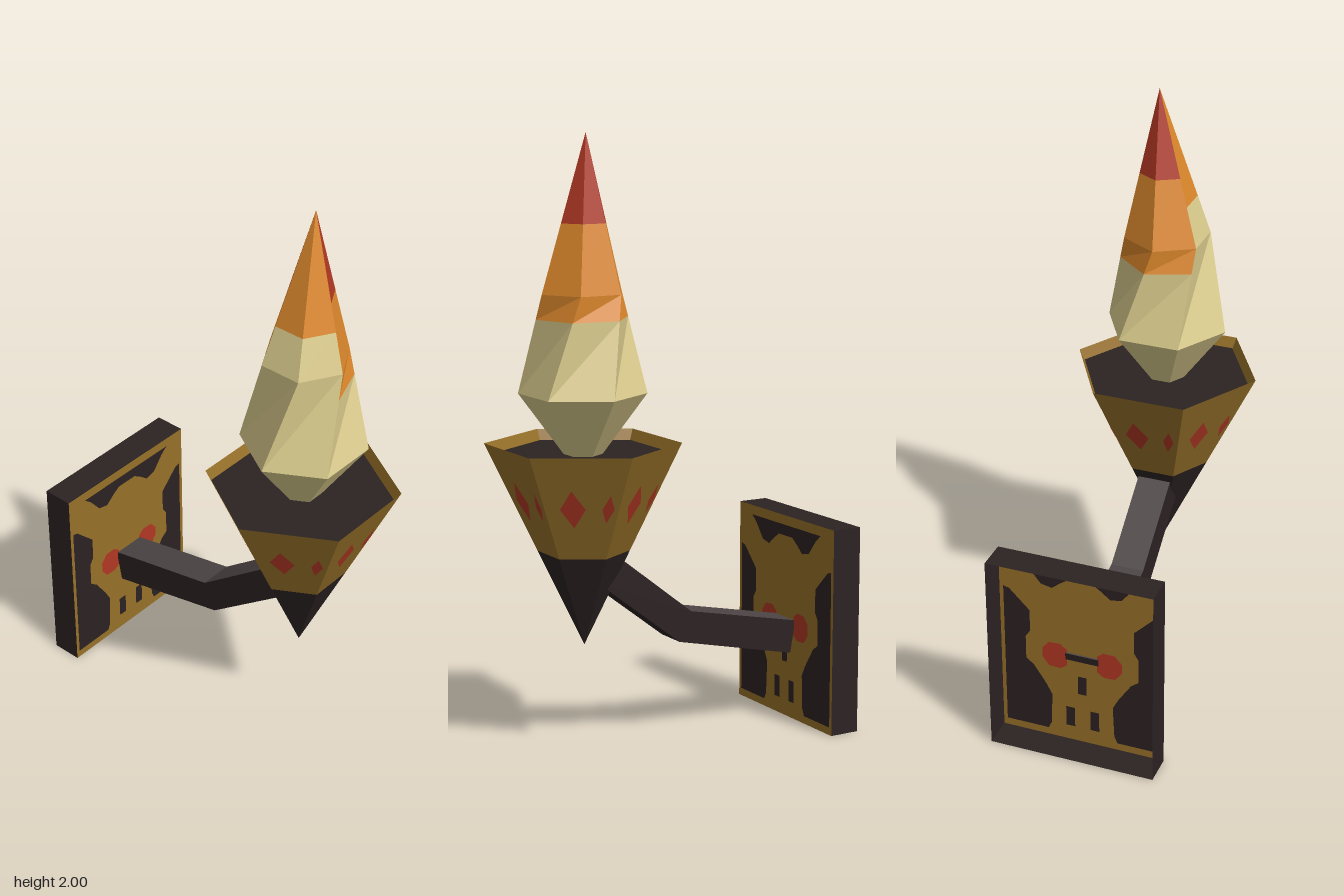
import * as THREE from 'three';

const mat = (name, color) => {
  const m = new THREE.MeshStandardMaterial({ color, side: THREE.DoubleSide });
  m.name = name;
  return m;
};

// Mesh made of flat four-cornered faces, corners counter-clockwise from outside
function quadMesh(name, quads, material) {
  const pos = [];
  for (const [a, b, c, d] of quads) for (const p of [a, b, c, a, c, d]) pos.push(...p);
  const g = new THREE.BufferGeometry();
  g.setAttribute('position', new THREE.Float32BufferAttribute(pos, 3));
  g.computeVertexNormals();
  const mesh = new THREE.Mesh(g, material);
  mesh.name = name;
  return mesh;
}

const CZ = 0.305; // torch axis
const corner = (deg, r, y) => {
  const a = THREE.MathUtils.degToRad(deg);
  return [Math.cos(a) * r, y, CZ + Math.sin(a) * r];
};
const mix = (a, b, t) => a.map((v, i) => v + (b[i] - v) * t);

// Six-sided band between two rings
function hexBand(name, r0, y0, r1, y1, material) {
  const quads = [];
  for (let d = 0; d < 360; d += 60) {
    quads.push([corner(d + 60, r0, y0), corner(d, r0, y0), corner(d, r1, y1), corner(d + 60, r1, y1)]);
  }
  return quadMesh(name, quads, material);
}

export function createModel() {
  const cream = mat('flameCream', 0xdccd8e);
  const orange = mat('flameOrange', 0xdd882c);
  const red = mat('red', 0xb23824);
  const gold = mat('gold', 0x967028);
  const dark = mat('darkIron', 0x2c2222);
  const grey = mat('armGrey', 0x4d4545);
  const model = new THREE.Group();
  model.name = 'wallTorch';

  // Wall plate: open-backed rim with a painted front panel
  const W = 0.283, H = 0.7, ZF = -0.475, ZB = -0.58;
  const rim = [[-W, 0], [W, 0], [W, H], [-W, H]];
  model.add(quadMesh('plateRim', rim.map(([x, y], i) => {
    const [u, v] = rim[(i + 1) % 4];
    return [[x, y, ZF], [x, y, ZB], [u, v, ZB], [u, v, ZF]];
  }), dark));

  const mirror = (pts) => pts.map(([x, y]) => [-x, y]);
  const box = (x0, x1, y0, y1) => [[x0, y0], [x1, y0], [x1, y1], [x0, y1]];
  const cheek = [[-0.27, 0.555], [-0.25, 0.55], [-0.18, 0.48], [-0.18, 0.4], [-0.196, 0.375],
    [-0.196, 0.29], [-0.17, 0.27], [-0.127, 0.205], [-0.106, 0.165], [-0.111, 0.05],
    [-0.122, 0.026], [-0.27, 0.026]];
  const brow = [[-0.206, 0.667], [-0.18, 0.645], [-0.138, 0.593], [-0.1, 0.585], [-0.07, 0.61], [-0.04, 0.63]];
  const eye = [[-0.138, 0.31], [-0.115, 0.28], [-0.075, 0.278], [-0.052, 0.295],
    [-0.052, 0.355], [-0.075, 0.374], [-0.115, 0.372], [-0.138, 0.345]];
  const tooth = box(-0.058, -0.027, 0.055, 0.13);
  const paint = [
    ['cheekShade', cheek, dark], ['cheekShade', mirror(cheek), dark],
    ['browShade', [...brow, ...mirror(brow).reverse()], dark],
    ['eye', eye, red], ['eye', mirror(eye), red],
    ['toothGap', tooth, dark], ['toothGap', mirror(tooth), dark],
    ['nose', box(-0.015, 0.015, 0.19, 0.26), dark],
  ];
  const toShape = (pts) => new THREE.Shape(pts.map(([x, y]) => new THREE.Vector2(x, y)));
  const addFlat = (name, shape, material) => {
    const m = new THREE.Mesh(new THREE.ShapeGeometry(shape), material);
    m.name = name;
    m.position.z = ZF;
    model.add(m);
  };
  const panel = toShape(rim);
  for (const [name, pts, material] of paint) {
    panel.holes.push(toShape(pts));
    addFlat(name, toShape(pts), material);
  }
  addFlat('platePanel', panel, gold);

  // Bent arm: sections given as [top z, top y, bottom z, bottom y]
  const A = 0.057;
  const sections = [[-0.48, 0.346, -0.46, 0.235], [-0.065, 0.433, -0.02, 0.335], [0.23, 0.665, 0.29, 0.575]];
  const tops = [], rest = [];
  const ring = ([tz, ty, bz, by]) => [[-A, ty, tz], [A, ty, tz], [A, by, bz], [-A, by, bz]];
  for (let i = 0; i < 2; i++) {
    const p = ring(sections[i]), q = ring(sections[i + 1]);
    for (let j = 0; j < 4; j++) {
      const k = (j + 1) % 4;
      (j === 0 ? tops : rest).push([p[j], q[j], q[k], p[k]]);
    }
  }
  rest.push(ring(sections[0]));
  model.add(quadMesh('armTop', tops, grey), quadMesh('armSides', rest, dark));

  // Six-sided cup with a recessed dark floor and a pointed foot
  const R = 0.315, TOP = 1.02, TIP = 0.36, JOIN = 0.67, FLOOR = 0.985;
  const cupR = (y) => R * (y - TIP) / (TOP - TIP);
  model.add(
    hexBand('cupFoot', 0, TIP, cupR(JOIN), JOIN, dark),
    hexBand('cupWall', cupR(JOIN), JOIN, R, TOP, gold),
    hexBand('cupFloor', cupR(FLOOR) - 0.002, FLOOR, 0, FLOOR, dark),
  );

  // Two red gems painted on every cup face
  const gems = [];
  for (let d = 0; d < 360; d += 60) {
    const on = (f, y) => mix(corner(d, cupR(y) + 0.004, y), corner(d + 60, cupR(y) + 0.004, y), f);
    for (const [f, w, h] of [[0.62, 0.17, 0.064], [0.15, 0.08, 0.048]]) {
      const y = 0.845;
      gems.push([on(f + w, y), on(f, y - h), on(f - w, y), on(f, y + h)]);
    }
  }
  model.add(quadMesh('cupGems', gems, red));

  // Flame: twisted six-sided body with a leaning tip, cut into colour bands
  const base = [0, 0.9, CZ], tip = [0.03, 2, CZ];
  const edge = (k, y) => {
    const low = corner(60 * k, 0.205, 1.18), mid = corner(60 * k - 30, 0.143, 1.5);
    if (y <= 1.18) return mix(base, low, (y - 0.9) / 0.28);
    if (y <= 1.5) return mix(low, mid, (y - 1.18) / 0.32);
    return mix(mid, tip, (y - 1.5) / 0.5);
  };
  const usual = [[0.9, 1.18, cream], [1.18, 1.42, cream], [1.42, 1.5, orange], [1.5, 1.72, orange], [1.72, 2, red]];
  const pale = [[0.9, 1.18, cream], [1.18, 1.5, cream], [1.5, 1.63, cream], [1.63, 2, orange]];
  const bands = new Map([[cream, []], [orange, []], [red, []]]);
  for (let k = 0; k < 6; k++) {
    for (const [y0, y1, m] of (k === 2 || k === 3 ? pale : usual)) {
      bands.get(m).push([edge(k + 1, y0), edge(k, y0), edge(k, y1), edge(k + 1, y1)]);
    }
  }
  model.add(
    quadMesh('flameBody', bands.get(cream), cream),
    quadMesh('flameMiddle', bands.get(orange), orange),
    quadMesh('flameTip', bands.get(red), red),
  );
  return model;
}
